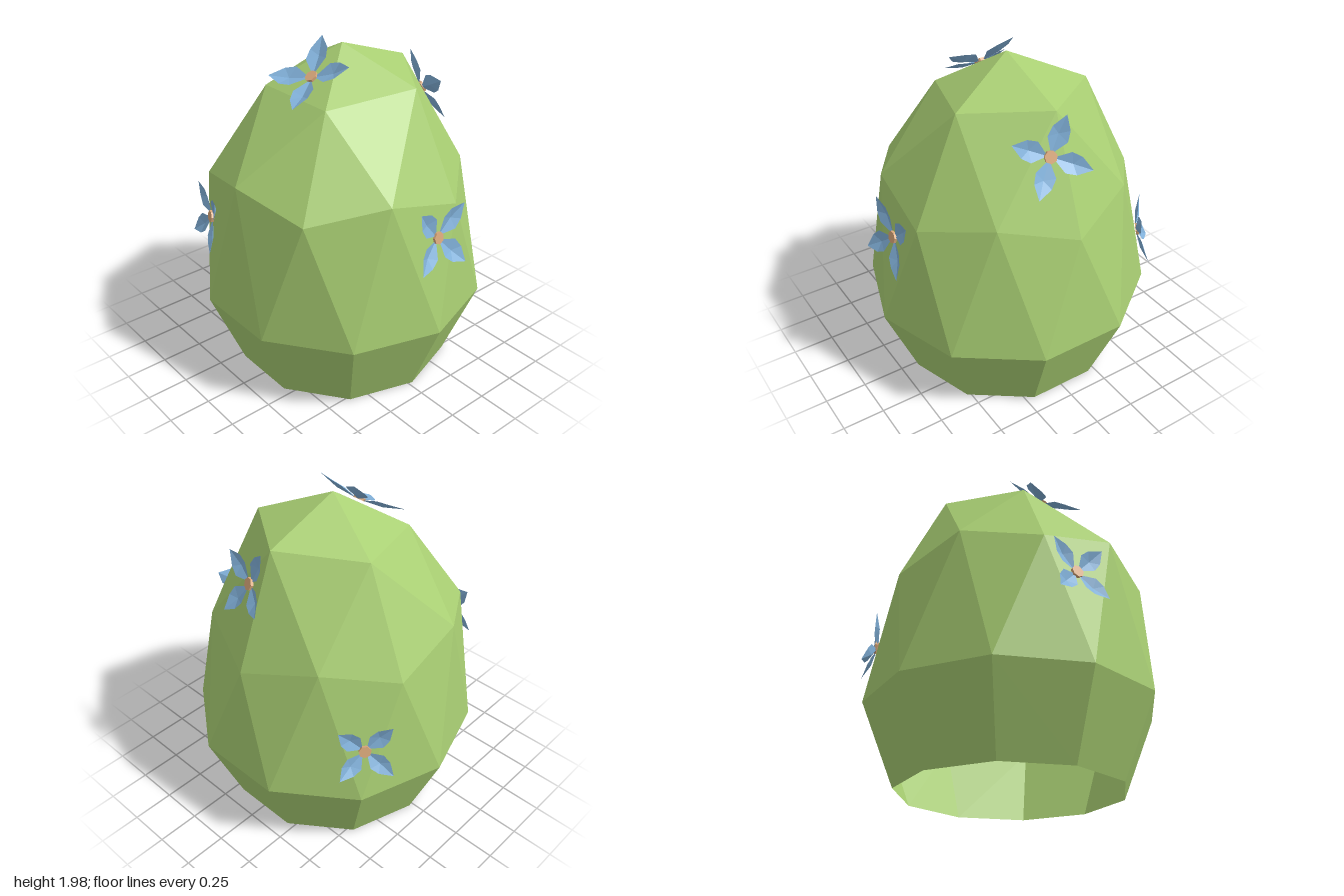
import * as THREE from 'three';

const mat = (name, color) => {
  const m = new THREE.MeshStandardMaterial({ color, side: THREE.DoubleSide, flatShading: true });
  m.name = name;
  return m;
};

// Flat-shaded geometry from a list of Vector3 corners, three per face
function faceted(corners) {
  const geo = new THREE.BufferGeometry().setFromPoints(corners);
  geo.computeVertexNormals();
  return geo;
}

// Faceted egg-shaped foliage, open underneath
function foliageGeometry() {
  const at = (deg, r, y) => {
    const a = THREE.MathUtils.degToRad(deg);
    return new THREE.Vector3(0.025 + r * Math.cos(a), y, -0.006 + r * Math.sin(a));
  };
  const apex = new THREE.Vector3(0.025, 1.95, -0.006);
  // half profiles of the irregular upper rings, mirrored front to back: [degrees, radius, y]
  const mirrored = (half) => {
    const back = half.filter(([d]) => d > 0 && d < 180).reverse().map(([d, r, y]) => [360 - d, r, y]);
    return [...half, ...back].map((p) => at(...p));
  };
  const crown = mirrored([[0, 0.465, 1.79], [68.5, 0.45, 1.76], [142, 0.425, 1.71]]);
  const shoulder = mirrored([[0, 0.725, 1.14], [37, 0.695, 1.25], [73, 0.74, 1.165],
    [109.5, 0.723, 1.28], [145.3, 0.773, 1.2], [180, 0.745, 1.3]]);
  const ring = (r, y) => Array.from({ length: 10 }, (_, i) => at(18 + 36 * i, r, y));
  const belly = ring(0.845, 0.475), rim = ring(0.652, 0);

  const f = [];
  for (let k = 0; k < 5; k++) {
    const c = crown[k], cn = crown[(k + 1) % 5];
    const s = shoulder[2 * k], m = shoulder[2 * k + 1], sn = shoulder[(2 * k + 2) % 10];
    f.push(apex, cn, c, c, m, s, c, cn, m, cn, sn, m);
  }
  for (let j = 0; j < 10; j++) {
    const n = (j + 1) % 10;
    f.push(shoulder[j], shoulder[n], belly[j]);
    f.push(shoulder[n], belly[n], belly[j]);
    f.push(belly[n], rim[n], rim[j], belly[n], rim[j], belly[j]);
  }
  return faceted(f);
}

// Pointed petal along +x, creased down the middle and curling up to the tip
function petalGeometry(len) {
  const v = (x, y, z) => new THREE.Vector3(x, y, z);
  const w = 0.25 * len;
  const base = v(0.015, 0, 0), mid = v(0.55 * len, 0, 0.012), tip = v(len, 0, 0.05);
  const f = [];
  for (const s of [-1, 1]) {
    const a = v(0.42 * len, s * w, 0.028), b = v(0.68 * len, s * w * 0.86, 0.036);
    for (const [p, q, r] of [[base, a, mid], [a, b, mid], [b, tip, mid]]) {
      f.push(...(s < 0 ? [p, q, r] : [p, r, q]));
    }
  }
  return faceted(f);
}

export function createModel() {
  const leafGreen = mat('leafGreen', 0xa9cf73);
  const petalBlue = mat('petalBlue', 0x83b3dc);
  const centreTan = mat('centreTan', 0xdba97c);

  const model = new THREE.Group();
  model.name = 'floweringBush';

  const foliage = new THREE.Mesh(foliageGeometry(), leafGreen);
  foliage.name = 'foliage';
  model.add(foliage);

  // Flowers: centre, outward normal, turn in degrees, petal length
  const flowers = [
    [[0.055, 1.04, 0.75], [0.04, 0.19, 0.98], 39, 0.24],
    [[0.565, 1.585, 0.08], [0.895, 0.357, 0.269], 66, 0.23],
    [[-0.205, 1.805, 0.015], [-0.58, 0.81, 0], 25, 0.26],
    [[-0.7, 1.0, -0.295], [-0.95, 0.155, -0.27], 45, 0.22],
    [[0.466, 0.795, -0.655], [0.6, 0.22, -0.77], 45, 0.21],
  ];
  const centreGeo = new THREE.CylinderGeometry(0.036, 0.036, 0.016, 7).rotateX(Math.PI / 2);

  flowers.forEach(([pos, normal, turn, len], i) => {
    const flower = new THREE.Group();
    flower.name = `flower${i + 1}`;
    const n = new THREE.Vector3(...normal).normalize();
    const across = new THREE.Vector3(0, 1, 0).cross(n).normalize();
    const uphill = n.clone().cross(across);
    flower.quaternion.setFromRotationMatrix(new THREE.Matrix4().makeBasis(across, uphill, n));
    flower.position.set(...pos);

    const petalGeo = petalGeometry(len);
    for (let k = 0; k < 4; k++) {
      const petal = new THREE.Mesh(petalGeo, petalBlue);
      petal.name = 'petal';
      petal.rotation.z = THREE.MathUtils.degToRad(turn + 90 * k);
      flower.add(petal);
    }
    const centre = new THREE.Mesh(centreGeo, centreTan);
    centre.name = 'flowerCentre';
    centre.position.z = 0.008;
    flower.add(centre);
    model.add(flower);
  });

  return model;
}
